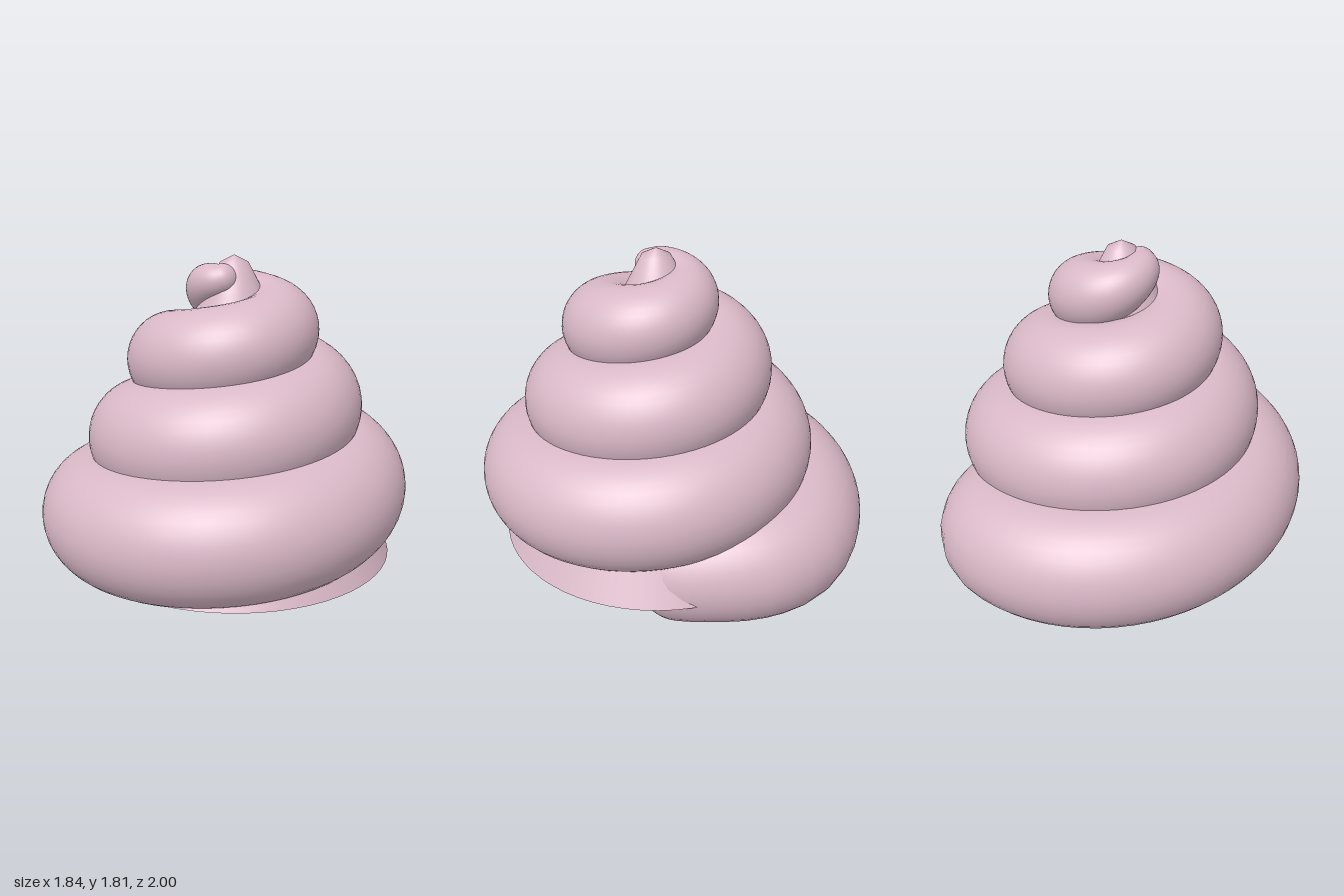
import * as THREE from 'three';

const CX = 0.06, CZ = 0.075; // vertical axis of the swirl

// Swirl keys: angle in degrees, distance from axis, tube radius, height
const KEYS = [
  [-60, 0.5, 0.29, 0.345], [-44, 0.57, 0.3, 0.36], [-30, 0.665, 0.31, 0.375],
  [-16, 0.745, 0.315, 0.39], [0, 0.757, 0.318, 0.41], [90, 0.668, 0.312, 0.51],
  [180, 0.617, 0.308, 0.61], [270, 0.557, 0.303, 0.71], [360, 0.497, 0.298, 0.81],
  [450, 0.437, 0.293, 0.91], [540, 0.395, 0.285, 1.01], [630, 0.355, 0.275, 1.11],
  [720, 0.315, 0.26, 1.21], [810, 0.285, 0.24, 1.31], [900, 0.25, 0.225, 1.4],
  [990, 0.195, 0.2, 1.49], [1080, 0.145, 0.16, 1.58], [1170, 0.115, 0.095, 1.68],
  [1205, 0.09, 0.075, 1.7],
];

const spline = new THREE.CubicInterpolant(
  KEYS.map(k => k[0]), KEYS.flatMap(k => k.slice(1)), 3, new Float32Array(3));

// Centre and radius of the tube at an angle
function sample(deg) {
  const [R, r, y] = spline.evaluate(deg);
  const a = THREE.MathUtils.degToRad(deg);
  return { p: new THREE.Vector3(CX - R * Math.sin(a), y, CZ - R * Math.cos(a)), r };
}

// Tapered tube swept along the spiral, with a rounded cap at each end
function swirlGeometry() {
  const SIDES = 40, STEP = 5, CAP = 10;
  const t0 = KEYS[0][0], t1 = KEYS[KEYS.length - 1][0];
  const positions = [], index = [];
  let rings = 0;

  const ring = (deg, shift, scale) => {
    const { p, r } = sample(deg);
    const ahead = sample(Math.min(deg + 1, t1)).p, behind = sample(Math.max(deg - 1, t0)).p;
    const T = ahead.sub(behind).normalize();
    const S = new THREE.Vector3().crossVectors(T, new THREE.Vector3(0, 1, 0)).normalize();
    const U = new THREE.Vector3().crossVectors(S, T);
    for (let i = 0; i < SIDES; i++) {
      const a = (i / SIDES) * Math.PI * 2;
      const v = p.clone().addScaledVector(T, shift * r)
        .addScaledVector(S, Math.cos(a) * r * scale)
        .addScaledVector(U, Math.sin(a) * r * scale);
      positions.push(v.x, v.y, v.z);
    }
    rings++;
  };

  for (let k = CAP; k > 0; k--) {
    const a = (k / CAP) * Math.PI * 0.499;
    ring(t0, -0.85 * Math.sin(a), Math.cos(a));
  }
  for (let d = t0; d <= t1; d += STEP) ring(d, 0, 1);
  for (let k = 1; k <= CAP; k++) {
    const a = (k / CAP) * Math.PI * 0.499;
    ring(t1, Math.sin(a), Math.cos(a));
  }

  for (let j = 0; j < rings - 1; j++) {
    for (let i = 0; i < SIDES; i++) {
      const n = (i + 1) % SIDES;
      const a = j * SIDES + i, b = j * SIDES + n, c = a + SIDES, d = b + SIDES;
      index.push(a, c, b, b, c, d);
    }
  }
  const g = new THREE.BufferGeometry();
  g.setAttribute('position', new THREE.Float32BufferAttribute(positions, 3));
  g.setIndex(index);
  g.computeVertexNormals();
  return g;
}

export function createModel() {
  const group = new THREE.Group();
  group.name = 'spiralSwirl';
  const pink = new THREE.MeshStandardMaterial({ color: 0xd9b8c6 });
  pink.name = 'dustyPink';

  const add = (name, geometry, x = 0, z = 0) => {
    const mesh = new THREE.Mesh(geometry, pink);
    mesh.name = name;
    mesh.position.set(x, 0, z);
    group.add(mesh);
  };
  const lathe = pts => new THREE.LatheGeometry(pts.map(p => new THREE.Vector2(...p)), 64);

  add('swirl', swirlGeometry());
  // Inner cone: pointed underside, long sloping wall and blunt tip
  add('coreUnderside', lathe([[0, 0], [0.81, 0.31]]), CX, CZ);
  add('coreWall', lathe([[0.81, 0.31], [0.14, 1.64], [0.07, 1.775], [0, 1.81]]), CX, CZ);
  return group;
}
